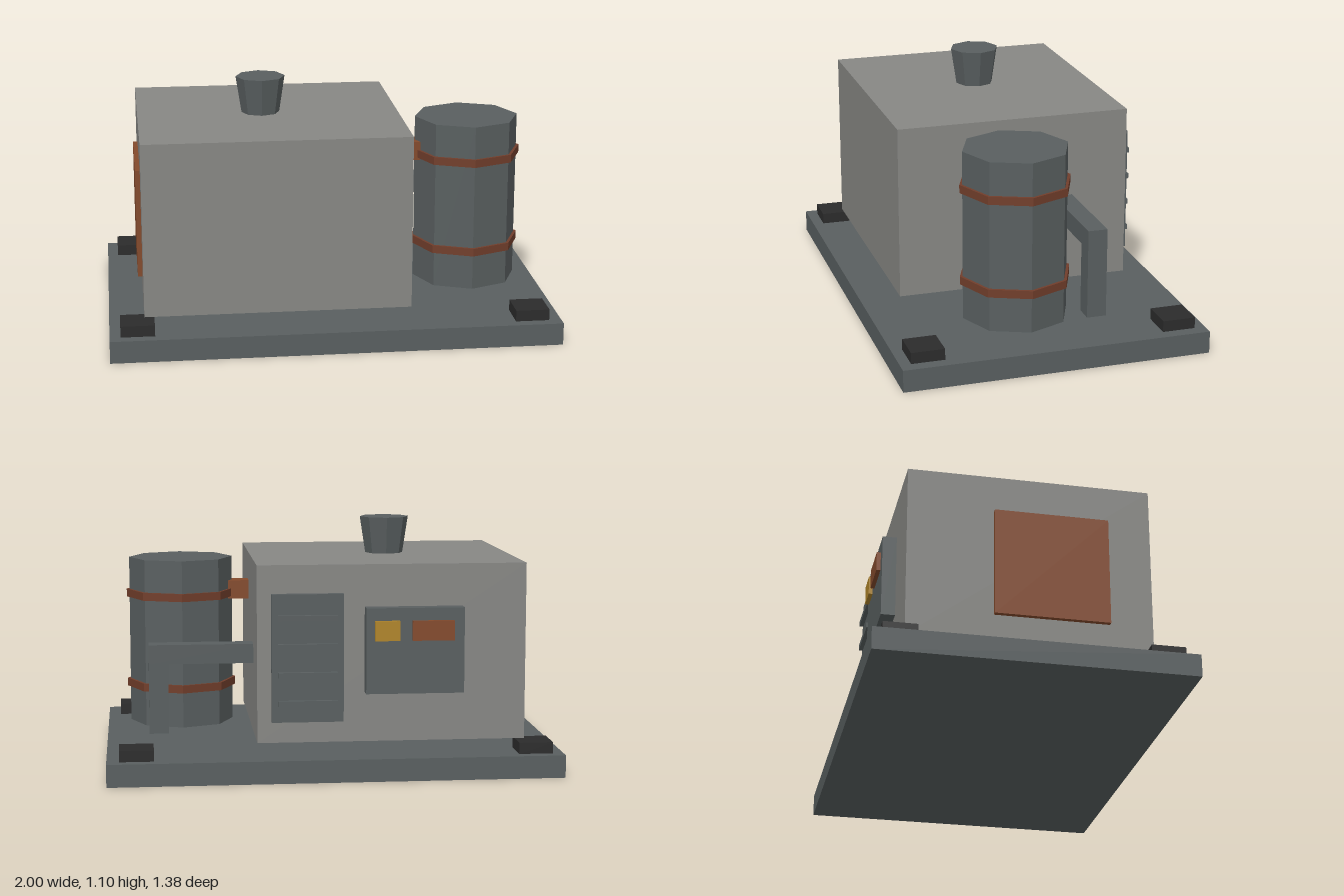
import * as THREE from 'three';

const mat = (name, color) => {
  const m = new THREE.MeshStandardMaterial({ color });
  m.name = name;
  return m;
};

export function createModel() {
  const group = new THREE.Group();
  const stone = mat('warm grey', 0x878784);
  const metal = mat('slate metal', 0x595f60);
  const rubber = mat('black rubber', 0x2c2c2c);
  const copper = mat('copper', 0x844a2c);
  const rust = mat('rust band', 0x713e2b);
  const yellow = mat('amber', 0xb08529);

  const add = (name, geometry, material, x, y, z) => {
    const mesh = new THREE.Mesh(geometry, material);
    mesh.name = name;
    mesh.position.set(x, y, z);
    group.add(mesh);
  };
  // Box given by its extents on each axis
  const box = (name, material, [x0, x1], [y0, y1], [z0, z1]) =>
    add(name, new THREE.BoxGeometry(x1 - x0, y1 - y0, z1 - z0), material,
      (x0 + x1) / 2, (y0 + y1) / 2, (z0 + z1) / 2);
  // Faceted eight-sided drum
  const drum = (name, material, rTop, rBottom, y0, y1, x, z) => {
    const g = new THREE.CylinderGeometry(rTop, rBottom, y1 - y0, 8).toNonIndexed();
    g.computeVertexNormals();
    add(name, g, material, x, (y0 + y1) / 2, z);
  };

  // Base plate and corner pads
  box('basePlate', metal, [-1, 1], [0, 0.1], [-0.688, 0.688]);
  for (const x of [-0.877, 0.87])
    for (const z of [-0.565, 0.565])
      box('cornerPad', rubber, [x - 0.075, x + 0.075], [0.1, 0.15], [z - 0.074, z + 0.074]);

  // Housing with flared chimney and side panel
  box('housing', stone, [-0.845, 0.342], [0.15, 0.933], [-0.532, 0.532]);
  drum('chimney', metal, 0.112, 0.086, 0.93, 1.1, -0.283, 0);
  box('sidePanel', copper, [-0.866, -0.845], [0.275, 0.765], [-0.156, 0.343]);

  // Tank with two bands
  drum('tank', metal, 0.237, 0.237, 0.15, 0.913, 0.655, 0.093);
  for (const y of [0.328, 0.747])
    drum('tankBand', rust, 0.25, 0.25, y - 0.018, y + 0.018, 0.655, 0.093);

  // Pipes joining the housing to the tank and the base
  box('tankPipe', copper, [0.34, 0.44], [0.718, 0.803], [0.045, 0.14]);
  box('drainPipe', metal, [0.34, 0.81], [0.465, 0.552], [-0.275, -0.188]);
  box('drainPipeLeg', metal, [0.723, 0.81], [0.15, 0.465], [-0.275, -0.188]);

  // Back vent with slats
  box('ventPanel', metal, [-0.035, 0.28], [0.245, 0.808], [-0.563, -0.532]);
  for (let i = 0; i < 4; i++) {
    const y = 0.33 + i * 0.125;
    box('ventSlat', metal, [-0.008, 0.253], [y - 0.012, y + 0.012], [-0.582, -0.563]);
  }

  // Back control box with its two plates
  box('controlBox', metal, [-0.562, -0.13], [0.37, 0.747], [-0.594, -0.532]);
  box('indicator', yellow, [-0.277, -0.167], [0.605, 0.692], [-0.612, -0.594]);
  box('controlPlate', copper, [-0.515, -0.332], [0.605, 0.692], [-0.612, -0.594]);

  return group;
}
